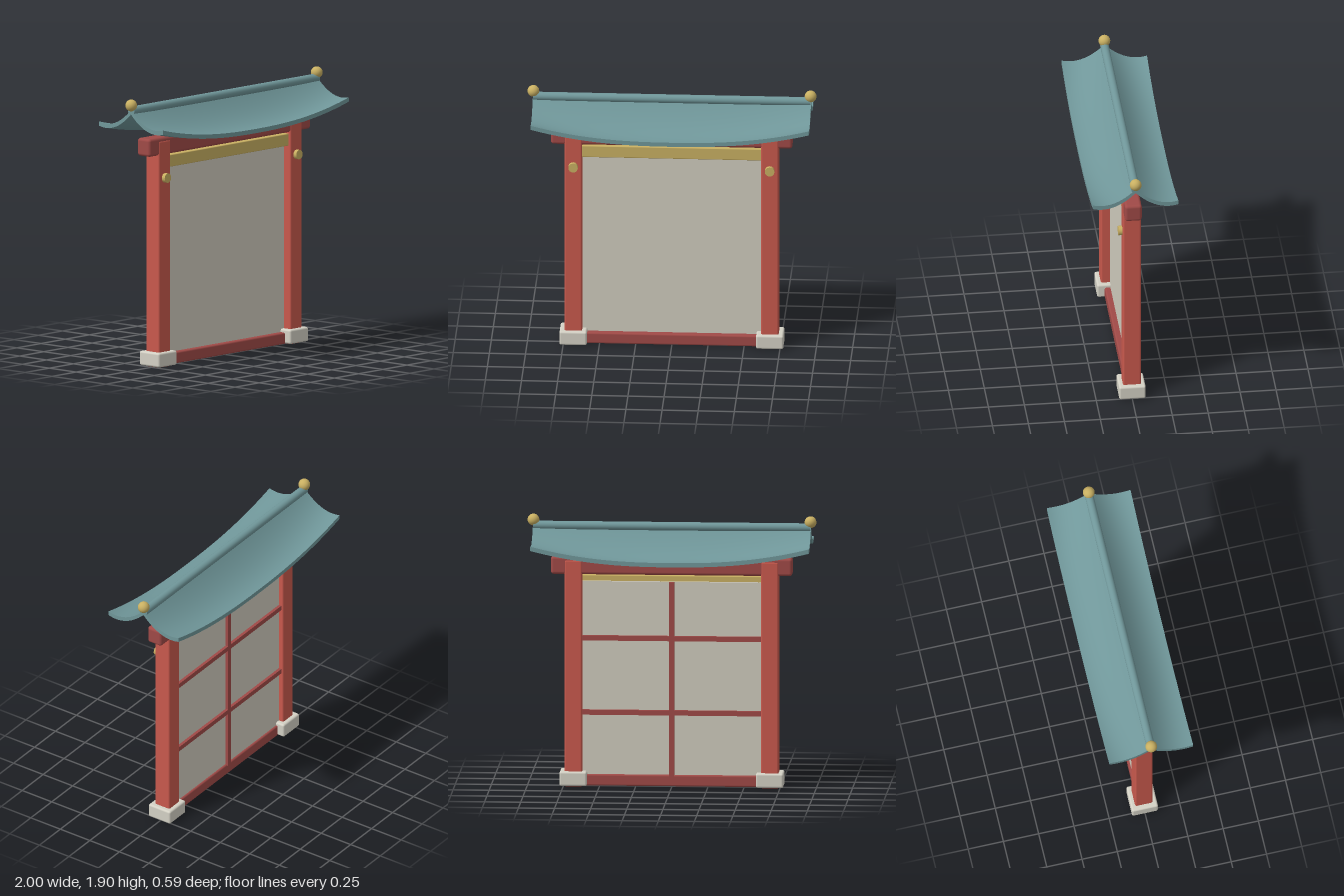
import * as THREE from 'three';
import { RoundedBoxGeometry } from 'three/addons/geometries/RoundedBoxGeometry.js';

const mat = (name, color) => {
  const m = new THREE.MeshStandardMaterial({ color });
  m.name = name;
  return m;
};

export function createModel() {
  const red = mat('post red', 0xc9594d);
  const darkRed = mat('beam red', 0xa04a47);
  const teal = mat('roof teal', 0x70979a);
  const gold = mat('gold', 0xc9b062);
  const paper = mat('screen paper', 0xd0ccbe);
  const stone = mat('stone', 0xd4d1c5);

  const model = new THREE.Group();
  const add = (name, geometry, material, x = 0, y = 0, z = 0) => {
    const mesh = new THREE.Mesh(geometry, material);
    mesh.name = name;
    mesh.position.set(x, y, z);
    model.add(mesh);
    return mesh;
  };
  // rounded block given by its size, bottom height and centre
  const block = (name, material, w, h, d, x, bottom, z, r = 0.01) =>
    add(name, new RoundedBoxGeometry(w, h, d, 3, r), material, x, bottom + h / 2, z);

  // posts, footings, studs and ridge finials, mirrored left and right
  for (const s of [-1, 1]) {
    const side = s > 0 ? 'left' : 'right';
    block(side + 'Post', red, 0.122, 1.585, 0.125, s * 0.68, 0, 0, 0.012);
    block(side + 'Footing', stone, 0.19, 0.1, 0.185, s * 0.68, 0.008, 0, 0.014);
    const stud = add(side + 'Stud', new THREE.CylinderGeometry(0.033, 0.033, 0.04, 24), gold, s * 0.68, 1.325, 0.07);
    stud.rotation.x = Math.PI / 2;
    add(side + 'Finial', new THREE.SphereGeometry(0.041, 24, 16), gold, s * 0.959, 1.858, 0);
  }

  // beams
  block('topBeam', darkRed, 1.67, 0.125, 0.118, 0, 1.485, 0, 0.02);
  block('sill', darkRed, 1.25, 0.08, 0.08, 0, 0.005, 0, 0.012);
  block('goldLintel', gold, 1.25, 0.085, 0.05, 0, 1.39, 0.02, 0.006);

  // screen with a lattice on its back
  add('screen', new THREE.BoxGeometry(1.24, 1.36, 0.026), paper, 0, 0.755, -0.013);
  add('latticeUpright', new THREE.BoxGeometry(0.035, 1.36, 0.025), darkRed, 0, 0.755, -0.035);
  for (const y of [0.52, 1.04])
    add('latticeRail', new THREE.BoxGeometry(1.24, 0.035, 0.025), darkRed, 0, y, -0.035);

  // roof slope: a slab that sags from ridge to eave and lifts towards its ends
  const slope = new THREE.BoxGeometry(1.925, 0.03, 1, 40, 1, 16);
  const p = slope.attributes.position;
  for (let i = 0; i < p.count; i++) {
    const t = p.getZ(i) + 0.5;
    const lift = (0.02 + 0.085 * t) * Math.pow(Math.abs(p.getX(i)) / 0.9625, 2.4);
    const sag = 0.195 * (1 - (1 - t) * (1 - t));
    p.setXYZ(i, p.getX(i), 1.79 - sag + lift + p.getY(i), t * 0.297);
  }
  slope.computeVertexNormals();
  add('frontRoofSlope', slope, teal);
  add('backRoofSlope', slope, teal).rotation.y = Math.PI;

  // ridge
  const ridge = add('ridge', new THREE.CylinderGeometry(0.03, 0.03, 1.92, 20), teal, 0, 1.82, 0);
  ridge.rotation.z = Math.PI / 2;

  return model;
}
